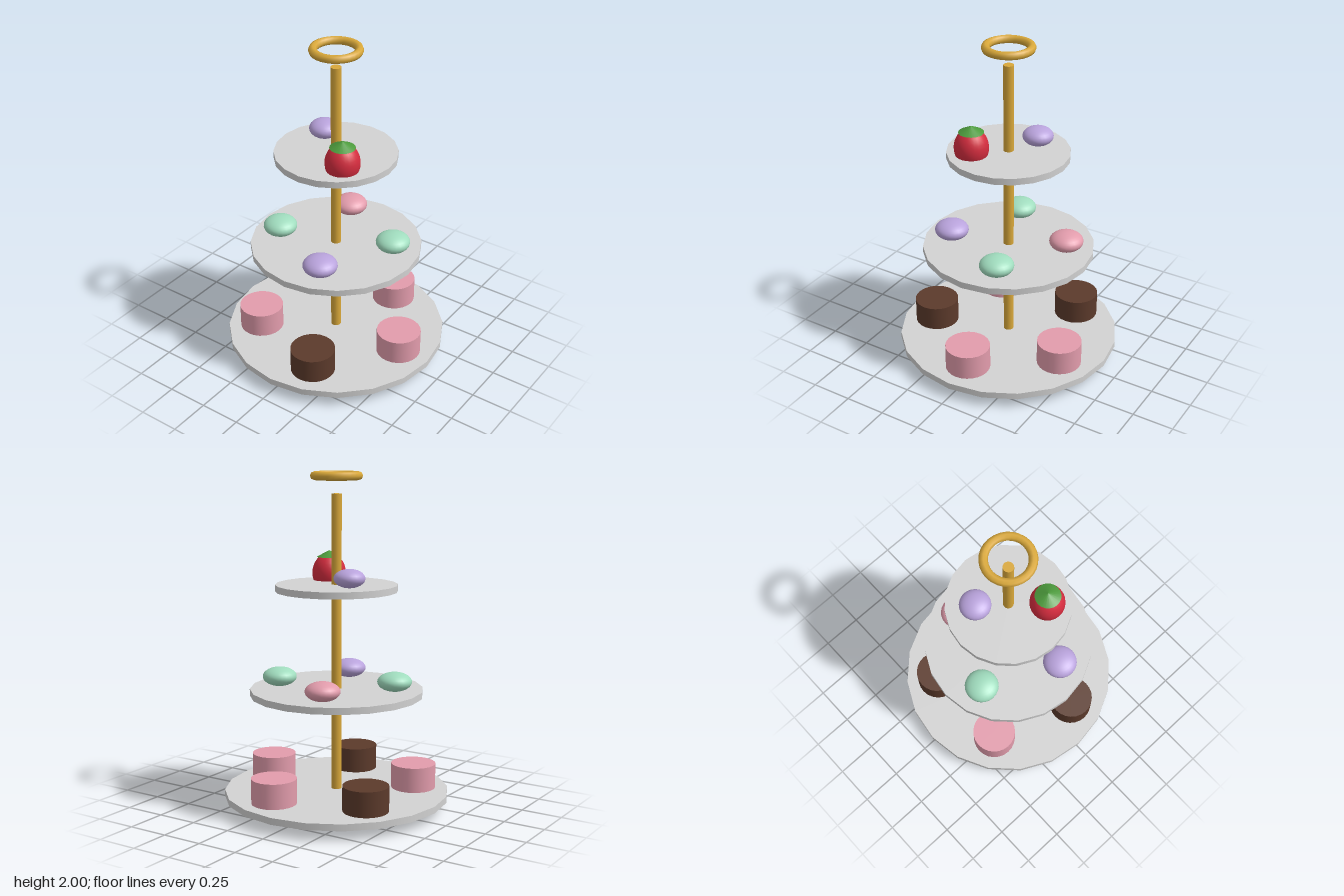
import * as THREE from 'three';

const mat = (name, color) => {
  const m = new THREE.MeshStandardMaterial({ color });
  m.name = name;
  return m;
};

export function createModel() {
  const plateGrey = mat('plate grey', 0xd2d2d2);
  const gold = mat('gold', 0xd9a83a);
  const pink = mat('pink icing', 0xe29cac);
  const brown = mat('chocolate', 0x5c3a2b);
  const mint = mat('mint', 0xa0dcbe);
  const lilac = mat('lilac', 0xb9a3dc);
  const red = mat('berry red', 0xd42c3e);
  const green = mat('leaf green', 0x4c9a3c);

  const model = new THREE.Group();
  model.name = 'cakeStand';

  const add = (name, geometry, material, x, y, z) => {
    const mesh = new THREE.Mesh(geometry, material);
    mesh.name = name;
    mesh.position.set(x, y, z);
    model.add(mesh);
    return mesh;
  };

  // Squashed or stretched ball used for the sweets and the berry
  const ball = (name, material, x, y, z, r, halfHeight) =>
    add(name, new THREE.SphereGeometry(r, 24, 16), material, x, y, z)
      .scale.set(1, halfHeight / r, 1);

  // Central pole and carrying ring
  add('pole', new THREE.CylinderGeometry(0.031, 0.031, 1.875, 16), gold, 0, 0.9375, 0);
  add('handleRing', new THREE.TorusGeometry(0.13, 0.025, 8, 28), gold, 0, 1.978, 0)
    .rotation.x = Math.PI / 2;

  // Three round plates
  [['bottomPlate', 0.675, 0.08], ['middlePlate', 0.518, 0.70], ['topPlate', 0.363, 1.325]]
    .forEach(([name, r, y]) =>
      add(name, new THREE.CylinderGeometry(r, r, 0.04, 20), plateGrey, 0, y, 0));

  // Five little cakes on the bottom plate
  [pink, brown, pink, brown, pink].forEach((material, i) => {
    const a = i * Math.PI * 2 / 5;
    add('cake', new THREE.CylinderGeometry(0.134, 0.134, 0.15, 24), material,
      0.467 * Math.cos(a), 0.175, 0.467 * Math.sin(a));
  });

  // Four sweets on the middle plate
  [lilac, mint, pink, mint].forEach((material, i) => {
    const a = 1.22 + i * Math.PI / 2;
    ball('sweet', material, 0.352 * Math.cos(a), 0.775, 0.352 * Math.sin(a), 0.103, 0.057);
  });

  // Sweet and berry on the top plate
  ball('topSweet', lilac, -0.157, 1.4, -0.105, 0.092, 0.055);
  ball('berry', red, 0.155, 1.387, 0.156, 0.102, 0.12);
  add('berryLeaf', new THREE.ConeGeometry(0.075, 0.04, 20), green, 0.155, 1.504, 0.156);

  return model;
}
